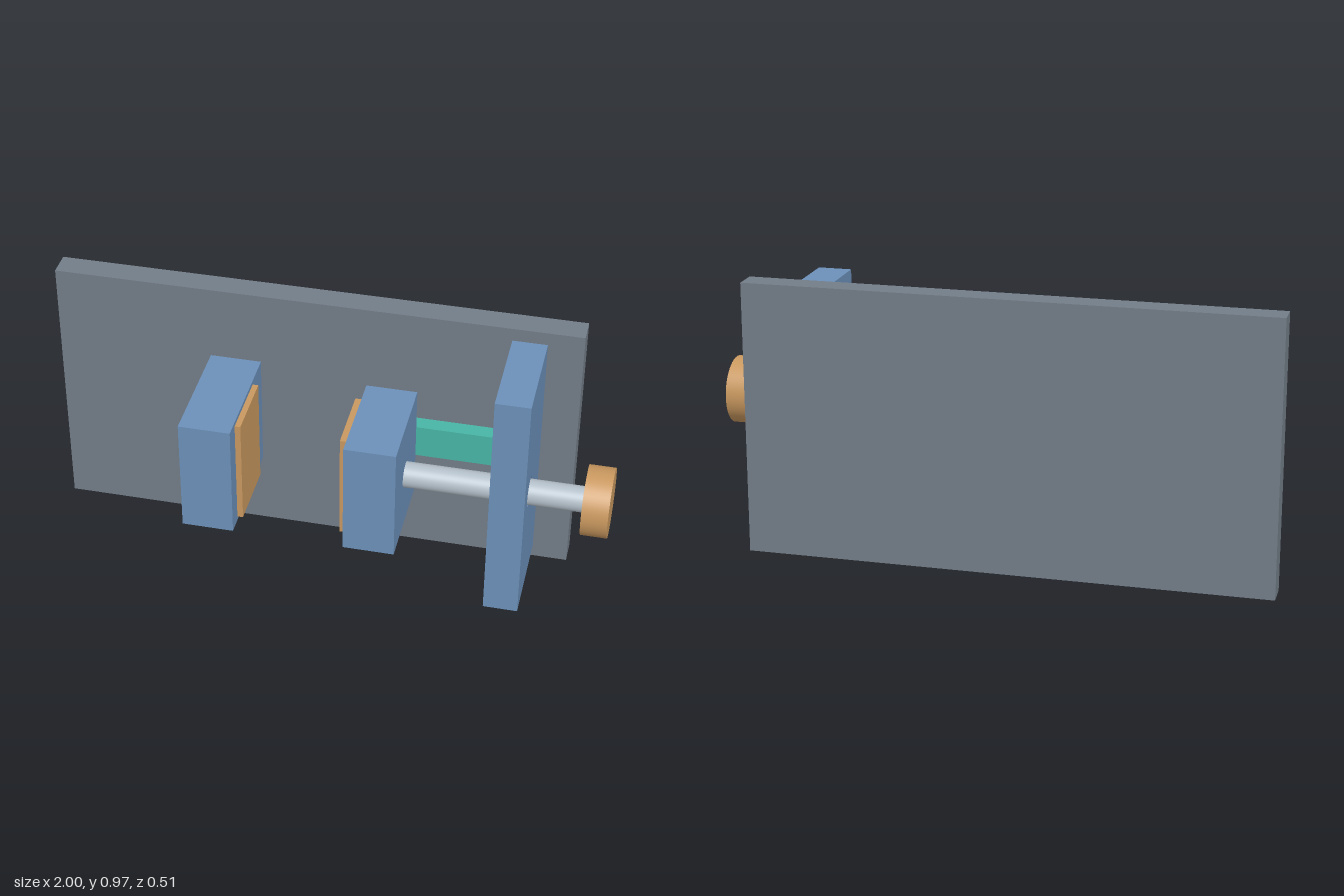
import * as THREE from 'three';

const paint = (name, color) => {
  const m = new THREE.MeshStandardMaterial({ color });
  m.name = name;
  return m;
};

export function createModel() {
  const group = new THREE.Group();
  const slate = paint('slate grey', 0x737d88);
  const blue = paint('steel blue', 0x6c90b9);
  const tan = paint('tan', 0xc9985f);
  const teal = paint('teal', 0x48b5a6);
  const silver = paint('silver', 0xb4c0ca);

  const add = (name, geometry, material) => {
    const mesh = new THREE.Mesh(geometry, material);
    mesh.name = name;
    group.add(mesh);
    return mesh;
  };
  // Box given by its extents along each axis
  const box = (name, material, [x0, x1], [y0, y1], [z0, z1]) =>
    add(name, new THREE.BoxGeometry(x1 - x0, y1 - y0, z1 - z0), material)
      .position.set((x0 + x1) / 2, (y0 + y1) / 2, (z0 + z1) / 2);

  const axisY = 0.484, axisZ = 0.077;
  // Cylinder lying along x on the screw axis
  const rod = (name, material, radius, x0, x1) => {
    const mesh = add(name, new THREE.CylinderGeometry(radius, radius, x1 - x0, 48), material);
    mesh.rotation.z = -Math.PI / 2;
    mesh.position.set((x0 + x1) / 2, axisY, axisZ);
  };

  // Back plate and slide rail
  box('basePlate', slate, [-1, 0.845], [0, 0.967], [-0.257, -0.167]);
  box('slideRail', teal, [0.09, 0.575], [0.424, 0.545], [-0.167, -0.112]);

  // Jaws with their soft pads
  const jawY = [0.274, 0.695], padY = [0.289, 0.68], padZ = [-0.05, 0.195];
  box('fixedJaw', blue, [-0.45, -0.27], jawY, [-0.167, 0.257]);
  box('fixedJawPad', tan, [-0.27, -0.25], padY, padZ);
  box('movingJaw', blue, [0.117, 0.295], jawY, [-0.112, 0.257]);
  box('movingJawPad', tan, [0.092, 0.117], padY, padZ);

  // Screw support with a clearance hole; shape x runs along -z
  const side = new THREE.Shape([
    [-0.197, 0.048], [0.167, 0.048], [0.167, 0.92], [-0.197, 0.92],
  ].map(([x, y]) => new THREE.Vector2(x, y)));
  side.holes.push(new THREE.Path().absarc(-axisZ, axisY, 0.052, 0, Math.PI * 2, true));
  const support = add('screwSupport', new THREE.ExtrudeGeometry(side, {
    depth: 0.12, bevelEnabled: false, curveSegments: 24,
  }), blue);
  support.rotation.y = Math.PI / 2;
  support.position.x = 0.602;

  // Screw and hand knob
  rod('screw', silver, 0.045, 0.295, 0.91);
  rod('knob', tan, 0.12, 0.91, 1);

  return group;
}
